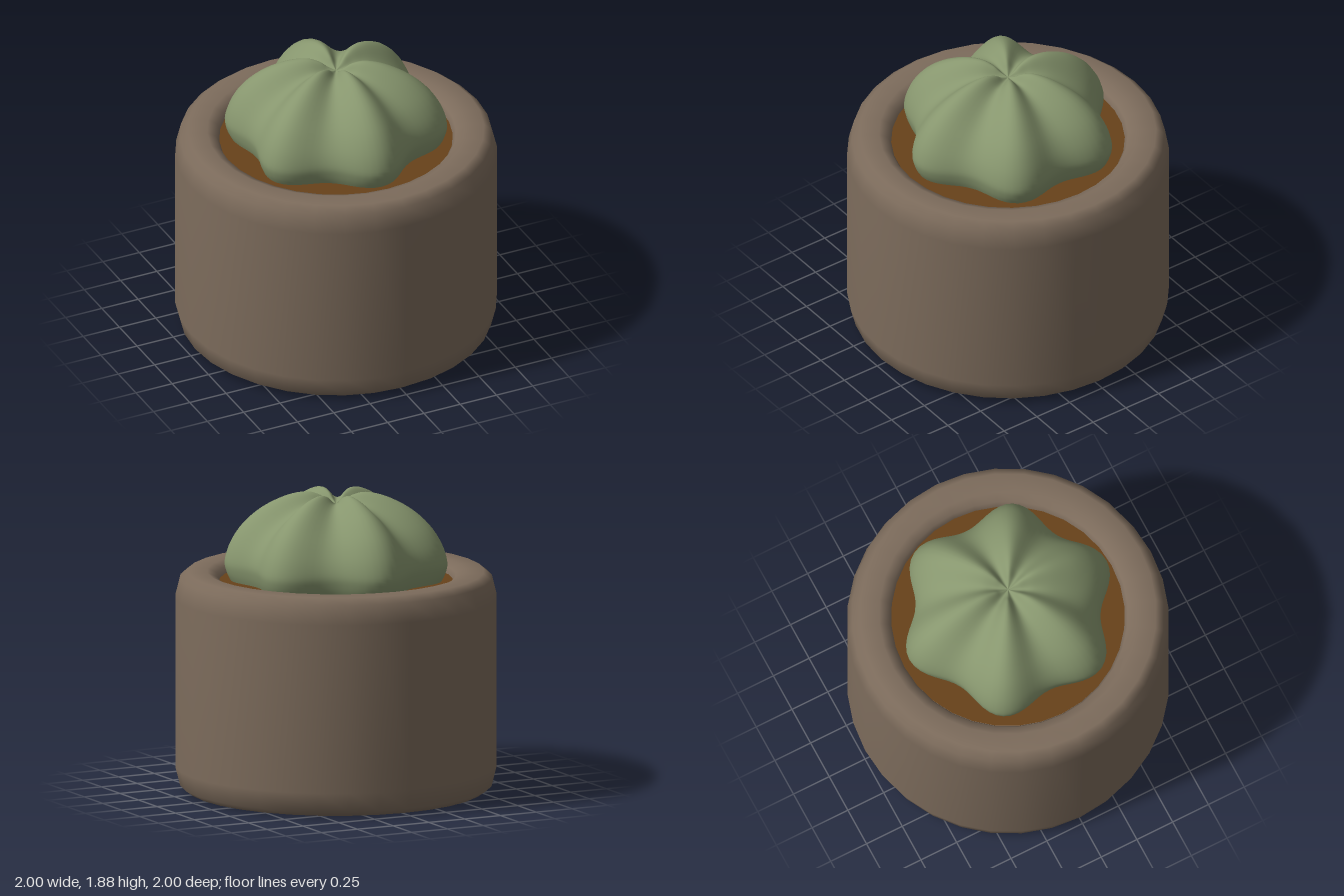
import * as THREE from 'three';
import { mergeVertices } from 'three/addons/utils/BufferGeometryUtils.js';

const v2 = (pairs) => pairs.map(([x, y]) => new THREE.Vector2(x, y));

function part(name, geometry, color) {
  const mesh = new THREE.Mesh(geometry, new THREE.MeshStandardMaterial({ color, side: THREE.DoubleSide }));
  mesh.name = name;
  return mesh;
}

// Ribbed body: blends a ridge profile and a valley profile around the axis
function ribbedBody(ridge, valley, ribs, rings, segments) {
  const ridgeCurve = new THREE.SplineCurve(v2(ridge));
  const valleyCurve = new THREE.SplineCurve(v2(valley));
  const base = new THREE.LatheGeometry(ridgeCurve.getPoints(rings), segments);
  const pos = base.attributes.position;
  for (let i = 0; i < pos.count; i++) {
    const t = (i % (rings + 1)) / rings;
    const angle = (Math.floor(i / (rings + 1)) / segments) * Math.PI * 2;
    const w = Math.pow((1 + Math.cos(ribs * angle)) / 2, 1.1);
    const p = valleyCurve.getPoint(t).lerp(ridgeCurve.getPoint(t), w);
    pos.setXYZ(i, Math.sin(angle) * p.x, p.y, Math.cos(angle) * p.x);
  }
  // Weld the seam so the shading stays smooth
  base.deleteAttribute('uv');
  base.deleteAttribute('normal');
  const geometry = mergeVertices(base);
  geometry.computeVertexNormals();
  return geometry;
}

export function createModel() {
  const group = new THREE.Group();
  group.name = 'pottedCactus';

  // Thick-walled pot with softened rims
  const potProfile = v2([
    [0, 0], [0.88, 0], [0.92, 0.005], [0.97, 0.04], [1, 0.16],
    [1, 1.22], [0.97, 1.34], [0.92, 1.38], [0.8, 1.38],
    [0.745, 1.355], [0.72, 1.3], [0.715, 1.15],
  ]);
  group.add(part('pot', new THREE.LatheGeometry(potProfile, 32), 0x7d6c5c));

  // Soil disc inside the rim
  const soil = new THREE.CircleGeometry(0.725, 32).rotateX(-Math.PI / 2);
  soil.translate(0, 1.32, 0);
  group.add(part('soil', soil, 0x68421a));

  // Six-ribbed cactus with a dimpled crown
  const ridge = [
    [0.59, 1.22], [0.65, 1.31], [0.683, 1.38], [0.69, 1.45], [0.655, 1.56], [0.58, 1.675],
    [0.46, 1.78], [0.31, 1.855], [0.185, 1.88], [0.1, 1.86], [0.05, 1.825], [0, 1.805],
  ];
  const valley = [
    [0.5, 1.22], [0.545, 1.31], [0.568, 1.38], [0.573, 1.45], [0.54, 1.54], [0.47, 1.635],
    [0.37, 1.72], [0.26, 1.785], [0.165, 1.815], [0.1, 1.815], [0.05, 1.81], [0, 1.805],
  ];
  group.add(part('cactus', ribbedBody(ridge, valley, 6, 44, 96), 0x87966e));

  return group;
}
